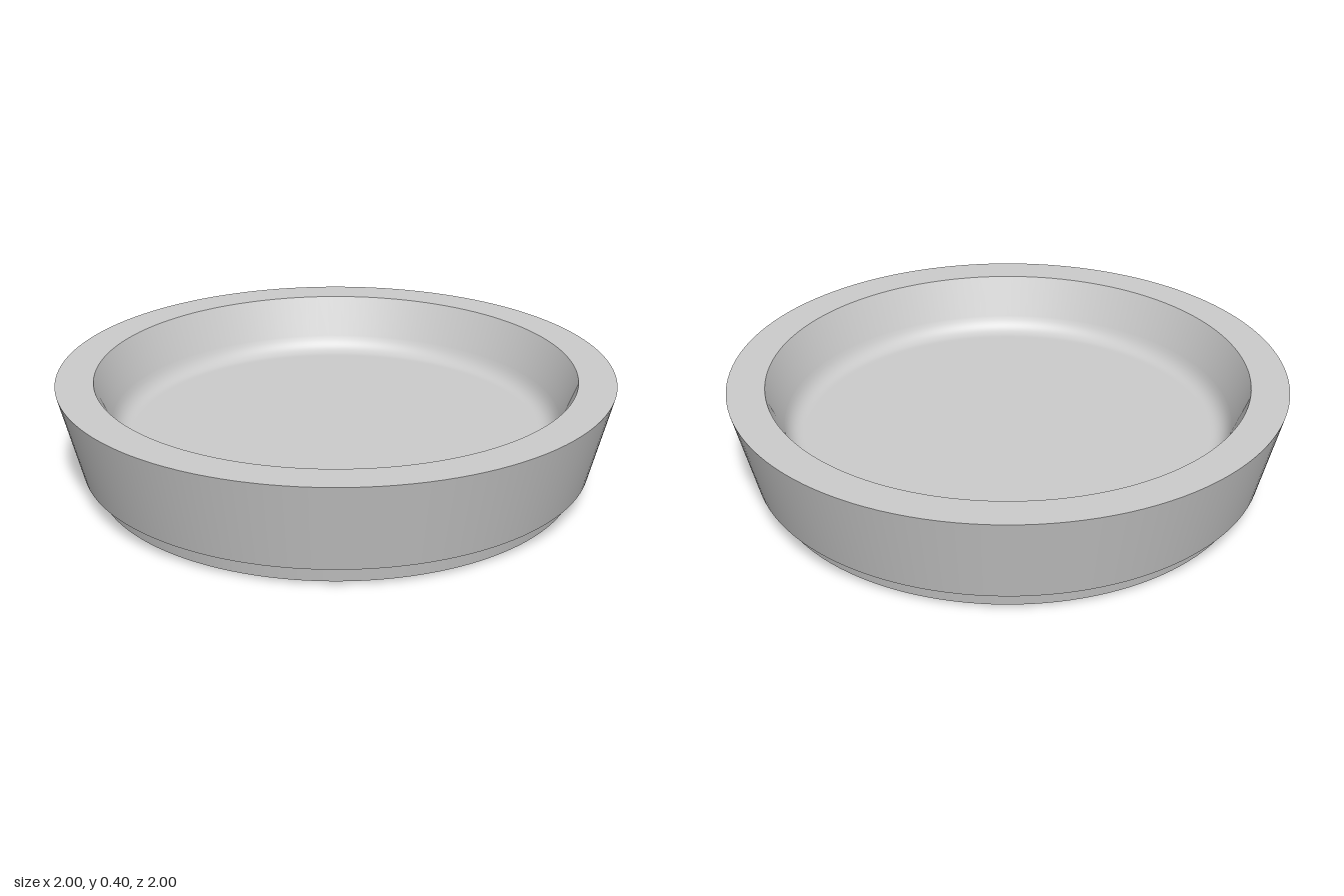
import * as THREE from 'three';

const SEGMENTS = 128;

export function createModel() {
  const group = new THREE.Group();
  group.name = 'shallowDish';
  const material = new THREE.MeshStandardMaterial({ color: 0xcccccc });

  // Each smooth stretch of the profile is its own lathe, so edges between them stay sharp.
  const turn = (name, points) => {
    const profile = points.map(([r, y]) => new THREE.Vector2(r, y));
    const mesh = new THREE.Mesh(new THREE.LatheGeometry(profile, SEGMENTS), material);
    mesh.name = name;
    group.add(mesh);
  };

  // Underside: thin raised foot disc with a softened edge
  turn('footFace', [[0, 0], [0.742, 0]]);
  turn('footEdge', [[0.742, 0], [0.75, 0.004], [0.753, 0.012]]);

  // Recessed base step
  turn('baseUnderside', [[0.753, 0.012], [0.87, 0.012]]);
  turn('baseSide', [[0.87, 0.012], [0.884, 0.08]]);

  // Flared outer wall and flat rim
  turn('wallUnderside', [[0.884, 0.08], [0.92, 0.08]]);
  turn('outerWall', [[0.92, 0.08], [1, 0.4]]);
  turn('rim', [[1, 0.4], [0.865, 0.4]]);

  // Inner wall blending through a fillet into the floor
  const fillet = new THREE.QuadraticBezierCurve(
    new THREE.Vector2(0.805, 0.245),
    new THREE.Vector2(0.783, 0.19),
    new THREE.Vector2(0.735, 0.19)
  ).getPoints(10).map((p) => [p.x, p.y]);
  turn('bowlInterior', [[0.865, 0.4], [0.807, 0.25], ...fillet, [0.72, 0.19], [0, 0.19]]);

  return group;
}
